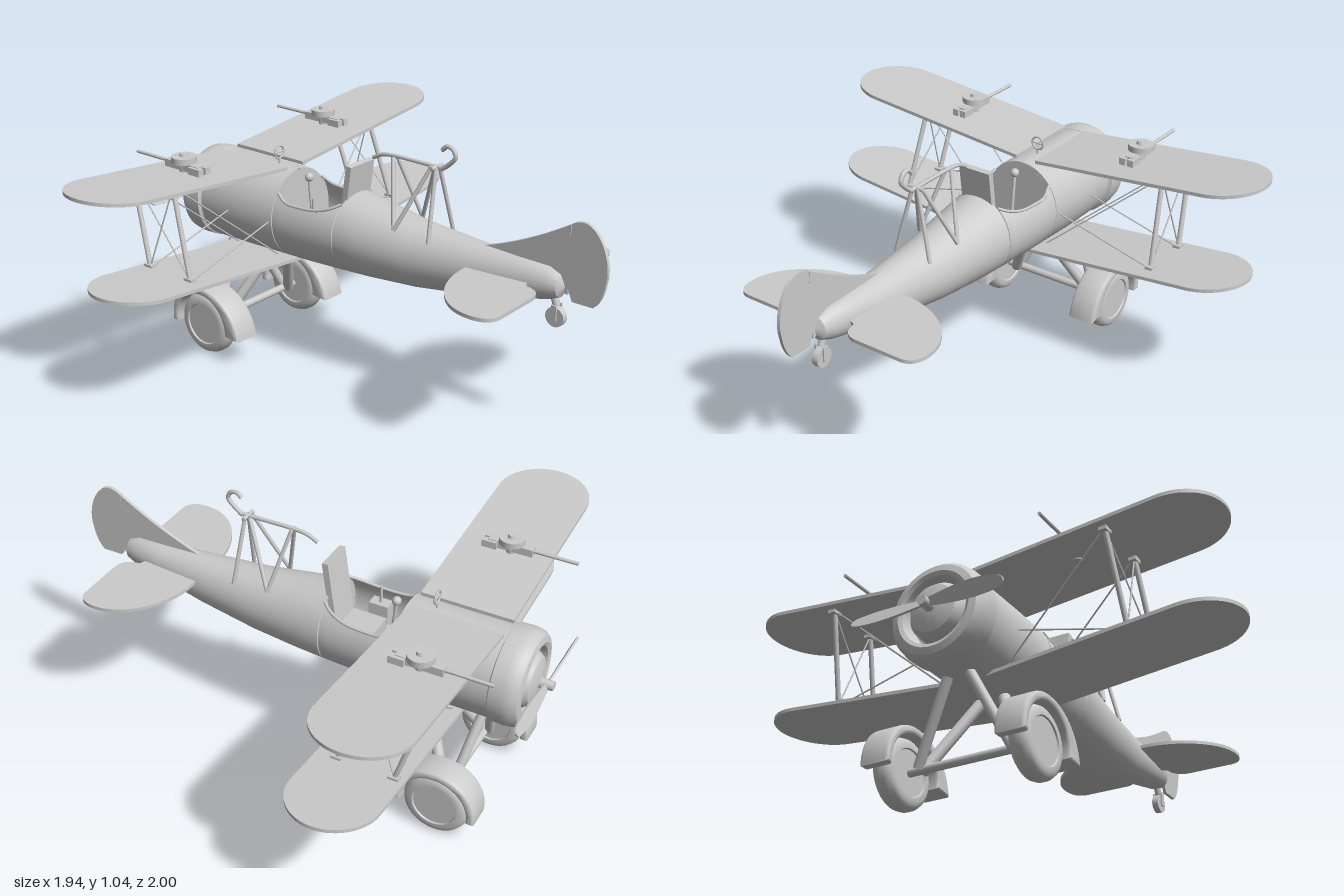
import * as THREE from 'three';
import { toCreasedNormals } from 'three/addons/utils/BufferGeometryUtils.js';

const mat = new THREE.MeshStandardMaterial({ color: 0xcccccc });
const thin = new THREE.MeshStandardMaterial({ color: 0xcccccc, side: THREE.DoubleSide });
const V = (p) => new THREE.Vector3(...p);

// Cylinder between two points
function rod(a, b, r = 0.008, r2 = r, sides = 10) {
  const d = V(b).sub(V(a));
  const g = new THREE.CylinderGeometry(r2, r, d.length(), sides);
  g.applyQuaternion(new THREE.Quaternion().setFromUnitVectors(V([0, 1, 0]), d.clone().normalize()));
  return g.translate(...V(a).addScaledVector(d, 0.5).toArray());
}
const box = (w, h, d, x, y, z) => new THREE.BoxGeometry(w, h, d).translate(x, y, z);

// Mirrored copy across x = 0 with corner order kept outward
function mirror(geo) {
  const g = geo.index ? geo.toNonIndexed() : geo.clone();
  g.scale(-1, 1, 1);
  for (const name of ['position', 'normal']) {
    const a = g.attributes[name].array;
    for (let i = 0; i < a.length; i += 9) {
      for (let k = 0; k < 3; k++) [a[i + k], a[i + 6 + k]] = [a[i + 6 + k], a[i + k]];
    }
  }
  return g;
}

// Flat plate drawn in (x, z), rising by slope along x
function plate(shape, y, thickness, slope = 0) {
  const g = new THREE.ExtrudeGeometry(shape, { depth: thickness, bevelEnabled: false, curveSegments: 14 });
  g.rotateX(Math.PI / 2).translate(0, y + thickness / 2, 0);
  const p = g.attributes.position;
  for (let i = 0; i < p.count; i++) p.setY(i, p.getY(i) + slope * p.getX(i));
  g.computeVertexNormals();
  return toCreasedNormals(g, 0.6);
}

// Upright plate drawn in (z, y), centred on x
function sidePlate(shape, width, x = 0, bevel = 0) {
  const g = new THREE.ExtrudeGeometry(shape, {
    depth: width - 2 * bevel, bevelEnabled: bevel > 0, bevelSize: bevel, bevelOffset: -bevel,
    bevelThickness: bevel, bevelSegments: 3, curveSegments: 20,
  });
  g.translate(0, 0, -width / 2 + bevel).rotateY(-Math.PI / 2).translate(x, 0, 0);
  return toCreasedNormals(g, 0.6);
}

function wingShape(x0, x1, z0, z1) {
  const s = new THREE.Shape(), c = x1 - 0.18, m = (z0 + z1) / 2;
  s.moveTo(x0, z0);
  s.lineTo(c, z0);
  s.bezierCurveTo(c + 0.1, z0, x1, z0 + 0.08, x1, m);
  s.bezierCurveTo(x1, z1 - 0.08, c + 0.1, z1, c, z1);
  s.lineTo(x0, z1);
  return s;
}

// Body from elliptical sections: z, top, bottom, half width, half angle of the opening
function fuselage() {
  const sections = [
    [-0.83, 0.79, 0.42, 0.175, 0], [-0.6, 0.79, 0.42, 0.175, 0], [-0.425, 0.79, 0.424, 0.17, 0],
    [-0.42, 0.79, 0.424, 0.17, 0.9], [-0.37, 0.785, 0.425, 0.168, 1.02], [-0.3, 0.78, 0.427, 0.165, 1.05],
    [-0.22, 0.775, 0.43, 0.16, 1.0], [-0.16, 0.77, 0.432, 0.158, 0.85], [-0.125, 0.765, 0.434, 0.155, 0.65],
    [-0.12, 0.765, 0.434, 0.155, 0], [0, 0.745, 0.44, 0.145, 0], [0.2, 0.715, 0.455, 0.122, 0],
    [0.45, 0.7, 0.49, 0.09, 0], [0.65, 0.692, 0.535, 0.068, 0], [0.77, 0.69, 0.562, 0.055, 0],
    [0.815, 0.67, 0.58, 0.04, 0], [0.835, 0.63, 0.62, 0.004, 0],
  ];
  const n = 36, pos = [], idx = [];
  sections.forEach(([z, top, bottom, rx, open], i) => {
    for (let j = 0; j <= n; j++) {
      const t = open + (2 * Math.PI - 2 * open) * j / n;
      pos.push(rx * Math.sin(t), (top + bottom) / 2 + (top - bottom) / 2 * Math.cos(t), z);
      if (i < sections.length - 1 && j < n) {
        const a = i * (n + 1) + j, b = a + n + 1;
        idx.push(a, b, a + 1, a + 1, b, b + 1);
      }
    }
  });
  const g = new THREE.BufferGeometry();
  g.setAttribute('position', new THREE.Float32BufferAttribute(pos, 3));
  g.setIndex(idx);
  g.computeVertexNormals();
  return toCreasedNormals(g, 0.6);
}

export function createModel() {
  const model = new THREE.Group();
  const add = (name, geo, m = mat) => {
    const mesh = new THREE.Mesh(geo, m);
    mesh.name = name;
    model.add(mesh);
  };
  const pair = (name, geo, m = mat) => {
    add(name + 'Left', geo, m);
    add(name + 'Right', mirror(geo), m);
  };

  // Body, engine cowl and propeller
  add('fuselage', fuselage(), thin);
  const lathe = (pts) => toCreasedNormals(new THREE.LatheGeometry(pts.map((p) => new THREE.Vector2(...p)), 40)
    .rotateX(-Math.PI / 2).translate(0, 0.605, 0), 0.6);
  add('cowl', lathe([[0.17, 0.81], [0.188, 0.82], [0.19, 0.87], [0.185, 0.905], [0.17, 0.925],
    [0.145, 0.932], [0.13, 0.925], [0.125, 0.9], [0.12, 0.86], [0, 0.86]]), thin);
  add('engineNose', lathe([[0.11, 0.86], [0.108, 0.91], [0.09, 0.935], [0.055, 0.947], [0, 0.95]]), thin);
  add('propellerHub', rod([0, 0.605, -0.94], [0, 0.605, -1.0], 0.022, 0.018, 16));
  const blade = new THREE.Shape();
  blade.moveTo(0, -0.012);
  blade.bezierCurveTo(0.1, -0.03, 0.2, -0.045, 0.29, -0.022);
  blade.quadraticCurveTo(0.325, 0, 0.29, 0.018);
  blade.bezierCurveTo(0.2, 0.035, 0.1, 0.025, 0, 0.012);
  const bladeGeo = new THREE.ExtrudeGeometry(blade, { depth: 0.008, bevelEnabled: false }).translate(0, 0, -0.004);
  add('propellerBlade1', bladeGeo.clone().rotateX(0.4).translate(0, 0.605, -0.975));
  add('propellerBlade2', bladeGeo.clone().rotateX(0.4).rotateZ(Math.PI).translate(0, 0.605, -0.975));

  // Cockpit
  add('cockpitFloor', box(0.27, 0.01, 0.3, 0, 0.53, -0.27));
  for (const [name, z, y, rx, ry] of [['instrumentPanel', -0.423, 0.607, 0.168, 0.18], ['rearBulkhead', -0.122, 0.6, 0.153, 0.163]]) {
    add(name, new THREE.CircleGeometry(1, 32).scale(rx, ry, 1).translate(0, y, z), thin);
  }
  add('seat', box(0.14, 0.05, 0.14, 0, 0.59, -0.23));
  add('seatBack', new THREE.BoxGeometry(0.14, 0.3, 0.025).rotateX(0.15).translate(0, 0.735, -0.128));
  add('sideConsole', box(0.05, 0.08, 0.08, -0.1, 0.62, -0.26));
  add('throttle', rod([-0.1, 0.66, -0.26], [-0.1, 0.73, -0.26], 0.006));
  add('controlStick', rod([0, 0.53, -0.35], [0, 0.76, -0.37], 0.007));
  add('stickGrip', new THREE.SphereGeometry(0.018, 14, 10).translate(0, 0.765, -0.37));
  const rim = [[0.13, 0.725, -0.42], [0.143, 0.697, -0.37], [0.141, 0.692, -0.3], [0.136, 0.698, -0.22],
    [0.12, 0.715, -0.16], [0.095, 0.735, -0.12]].map(V);
  pair('cockpitRim', new THREE.TubeGeometry(new THREE.CatmullRomCurve3(rim), 24, 0.006, 8));
  add('sightPost', rod([0, 0.78, -0.53], [0, 0.81, -0.53], 0.004));
  add('sightRing', new THREE.TorusGeometry(0.026, 0.004, 8, 24).translate(0, 0.836, -0.53));
  add('sightCrossbar', rod([-0.026, 0.836, -0.53], [0.026, 0.836, -0.53], 0.003));

  // Wings with their struts and wires
  pair('upperWing', plate(wingShape(0.045, 0.96, -0.81, -0.445), 0.791, 0.014, 0.096));
  pair('lowerWing', plate(wingShape(0.05, 0.97, -0.7, -0.36), 0.435, 0.014, 0.096));
  for (const z of [-0.44, -0.66]) {
    const foot = [0.6, 0.495, z], head = [0.57, 0.843, z - 0.1];
    pair('wingStrut', rod(foot, head, 0.01));
    pair('strutFoot', box(0.03, 0.016, 0.04, 0.6, 0.503, z));
    pair('strutHead', box(0.03, 0.016, 0.04, 0.57, 0.833, z - 0.1));
    pair('liftWire', rod([0.1, 0.44, z], head, 0.003, 0.003, 6));
    pair('landingWire', rod([0.16, 0.61, z], foot, 0.003, 0.003, 6));
  }
  pair('strutWireA', rod([0.6, 0.5, -0.44], [0.57, 0.84, -0.76], 0.003, 0.003, 6));
  pair('strutWireB', rod([0.6, 0.5, -0.66], [0.57, 0.84, -0.54], 0.003, 0.003, 6));

  // Wing guns
  pair('gunBarrel', rod([0.405, 0.864, -0.62], [0.405, 0.864, -0.915], 0.007));
  pair('gunBody', box(0.035, 0.03, 0.18, 0.405, 0.86, -0.65));
  pair('gunMount', rod([0.405, 0.82, -0.65], [0.405, 0.86, -0.65], 0.02));
  pair('gunDrum', rod([0.405, 0.876, -0.65], [0.405, 0.9, -0.65], 0.05, 0.05, 28));
  pair('gunDrumCap', rod([0.405, 0.9, -0.65], [0.405, 0.912, -0.65], 0.018, 0.015, 16));
  for (const dx of [-0.018, 0.018]) pair('gunGrip', box(0.026, 0.028, 0.06, 0.405 + dx, 0.858, -0.57));

  // Tail surfaces
  const tail = new THREE.Shape();
  tail.moveTo(0.03, 0.46);
  tail.lineTo(0.1, 0.46);
  tail.bezierCurveTo(0.25, 0.46, 0.41, 0.57, 0.41, 0.71);
  tail.quadraticCurveTo(0.41, 0.79, 0.35, 0.795);
  tail.lineTo(0.15, 0.795);
  tail.quadraticCurveTo(0.09, 0.79, 0.085, 0.72);
  tail.lineTo(0.03, 0.7);
  pair('tailplane', plate(tail, 0.62, 0.014));
  const fin = new THREE.Shape();
  fin.moveTo(0.47, 0.69);
  fin.quadraticCurveTo(0.66, 0.75, 0.845, 0.865);
  fin.lineTo(0.845, 0.6);
  fin.lineTo(0.7, 0.63);
  add('fin', sidePlate(fin, 0.014));
  const rudder = new THREE.Shape();
  rudder.moveTo(0.848, 0.867);
  rudder.quadraticCurveTo(0.9, 0.9, 0.94, 0.865);
  rudder.bezierCurveTo(0.985, 0.825, 1.01, 0.74, 0.995, 0.68);
  rudder.quadraticCurveTo(0.985, 0.61, 0.95, 0.578);
  rudder.lineTo(0.865, 0.578);
  rudder.lineTo(0.838, 0.64);
  add('rudder', sidePlate(rudder, 0.014));
  add('tailWheel', toCreasedNormals(rod([-0.013, 0.502, 0.8], [0.013, 0.502, 0.8], 0.038, 0.038, 24), 0.6));
  pair('tailWheelFork', box(0.006, 0.06, 0.022, 0.018, 0.52, 0.8));
  add('tailWheelPost', rod([0, 0.545, 0.8], [0, 0.6, 0.78], 0.014));

  // Landing gear
  const wz = -0.695, wy = 0.137;
  const tyre = [[0, -0.034], [0.085, -0.034], [0.088, -0.04], [0.108, -0.04], [0.123, -0.03], [0.131, -0.012],
    [0.131, 0.012], [0.123, 0.03], [0.108, 0.04], [0.088, 0.04], [0.085, 0.034], [0, 0.034]];
  pair('wheel', toCreasedNormals(new THREE.LatheGeometry(tyre.map((p) => new THREE.Vector2(...p)), 40)
    .rotateZ(-Math.PI / 2).translate(0.27, wy, wz), 0.6));
  const fender = new THREE.Shape();
  fender.moveTo(-0.485, 0.117);
  fender.bezierCurveTo(-0.5, 0.23, -0.59, 0.303, wz, 0.303);
  fender.bezierCurveTo(-0.8, 0.303, -0.87, 0.22, -0.86, 0.117);
  fender.lineTo(wz - 0.134, 0.117);
  fender.absarc(wz, wy, 0.134, Math.PI + 0.1, -0.1, true);
  pair('fender', sidePlate(fender, 0.118, 0.267, 0.012));
  pair('rearLeg', rod([0.19, wy, -0.68], [0.035, 0.45, -0.53], 0.022, 0.022, 16));
  pair('frontLeg', rod([0.19, wy, -0.71], [0.035, 0.45, -0.765], 0.019, 0.019, 16));
  add('axle', rod([-0.24, wy, wz], [0.24, wy, wz], 0.016, 0.016, 16));

  // Hook frame above the rear body
  const bar = [[0, 0.945, 0.3], [0, 0.945, 0.04], [0, 0.938, 0], [0, 0.918, -0.04]].map(V);
  add('hookBar', new THREE.TubeGeometry(new THREE.CatmullRomCurve3(bar), 20, 0.008, 8));
  const hook = [[0, 0.94, 0.28], [0, 0.965, 0.315], [0, 1.0, 0.345], [0, 1.028, 0.33], [0, 1.032, 0.305],
    [0, 1.015, 0.285]].map(V);
  add('hook', new THREE.TubeGeometry(new THREE.CatmullRomCurve3(hook), 24, 0.009, 8));
  pair('hookLegRear', rod([0.08, 0.67, 0.285], [0.012, 0.945, 0.265]));
  pair('hookLegMiddle', rod([0.09, 0.69, 0.13], [0.012, 0.945, 0.245]));
  pair('hookLegFront', rod([0.09, 0.69, 0.13], [0.012, 0.945, 0.065]));
  add('hookCrossbar', rod([-0.035, 0.945, 0.26], [0.035, 0.945, 0.26]));
  return model;
}
